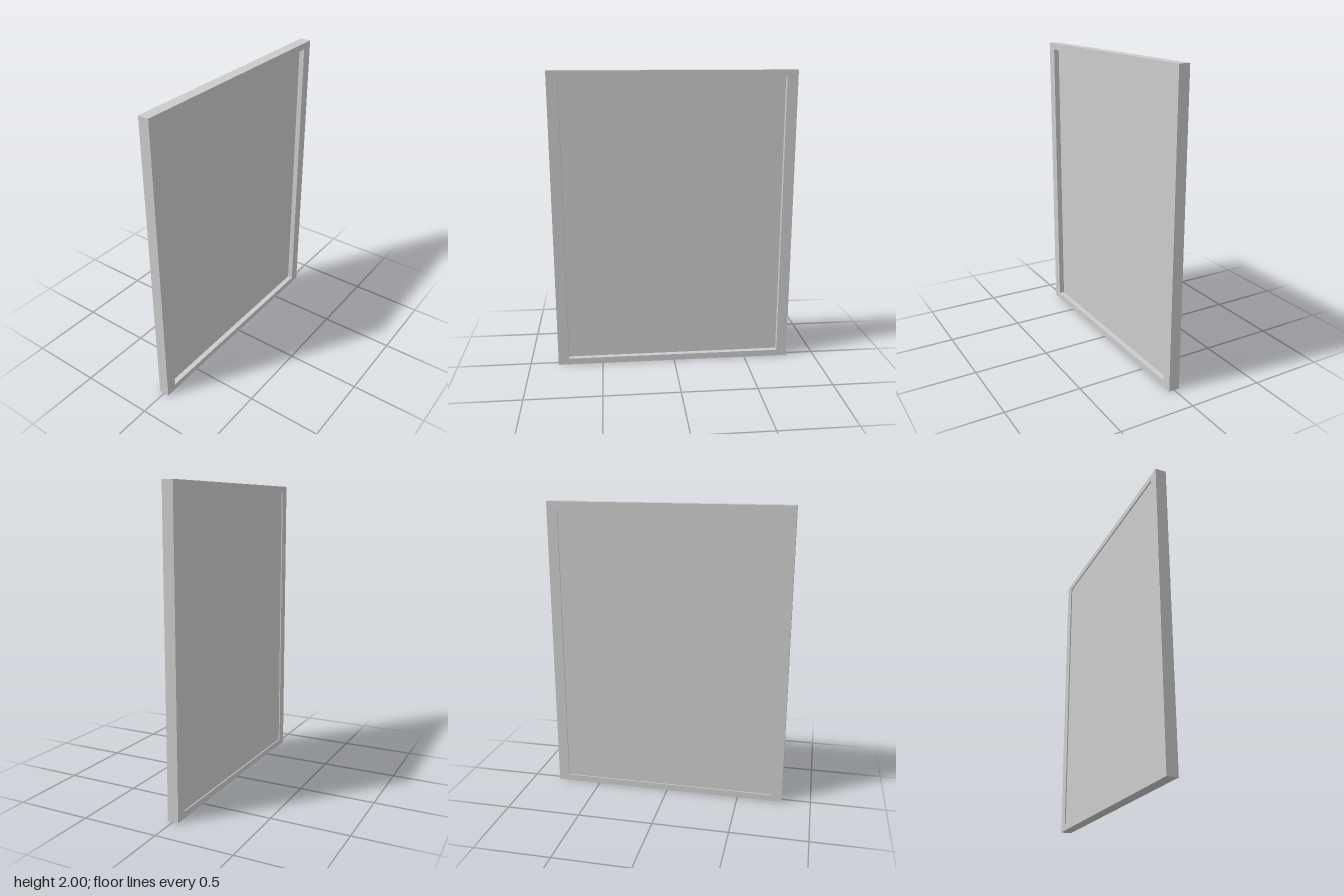
import * as THREE from 'three';

const HEIGHT = 2, HALF_WIDTH = 0.806, DEPTH = 0.072;
const SIDE = 0.072, RAIL = 0.043; // widths of the upright and horizontal borders

export function createModel() {
  const group = new THREE.Group();
  const material = new THREE.MeshStandardMaterial({ color: 0xcccccc });

  // Rectangular frame with an opening, extruded through its thickness
  const outline = new THREE.Shape([
    new THREE.Vector2(-HALF_WIDTH, 0), new THREE.Vector2(HALF_WIDTH, 0),
    new THREE.Vector2(HALF_WIDTH, HEIGHT), new THREE.Vector2(-HALF_WIDTH, HEIGHT),
  ]);
  const inner = HALF_WIDTH - SIDE;
  outline.holes.push(new THREE.Path([
    new THREE.Vector2(-inner, RAIL), new THREE.Vector2(-inner, HEIGHT - RAIL),
    new THREE.Vector2(inner, HEIGHT - RAIL), new THREE.Vector2(inner, RAIL),
  ]));
  const frameGeometry = new THREE.ExtrudeGeometry(outline, { depth: DEPTH, bevelEnabled: false });
  frameGeometry.translate(0, 0, -DEPTH / 2);
  frameGeometry.rotateY(Math.PI / 2);
  const frame = new THREE.Mesh(frameGeometry, material);
  frame.name = 'frame';
  group.add(frame);

  // Panel: deeply recessed on the +x side, almost flush on the -x side
  const xBack = -0.028, xFront = 0;
  const panel = new THREE.Mesh(
    new THREE.BoxGeometry(xFront - xBack, HEIGHT - 2 * RAIL, 2 * inner), material);
  panel.position.set((xFront + xBack) / 2, HEIGHT / 2, 0);
  panel.name = 'panel';
  group.add(panel);

  return group;
}
